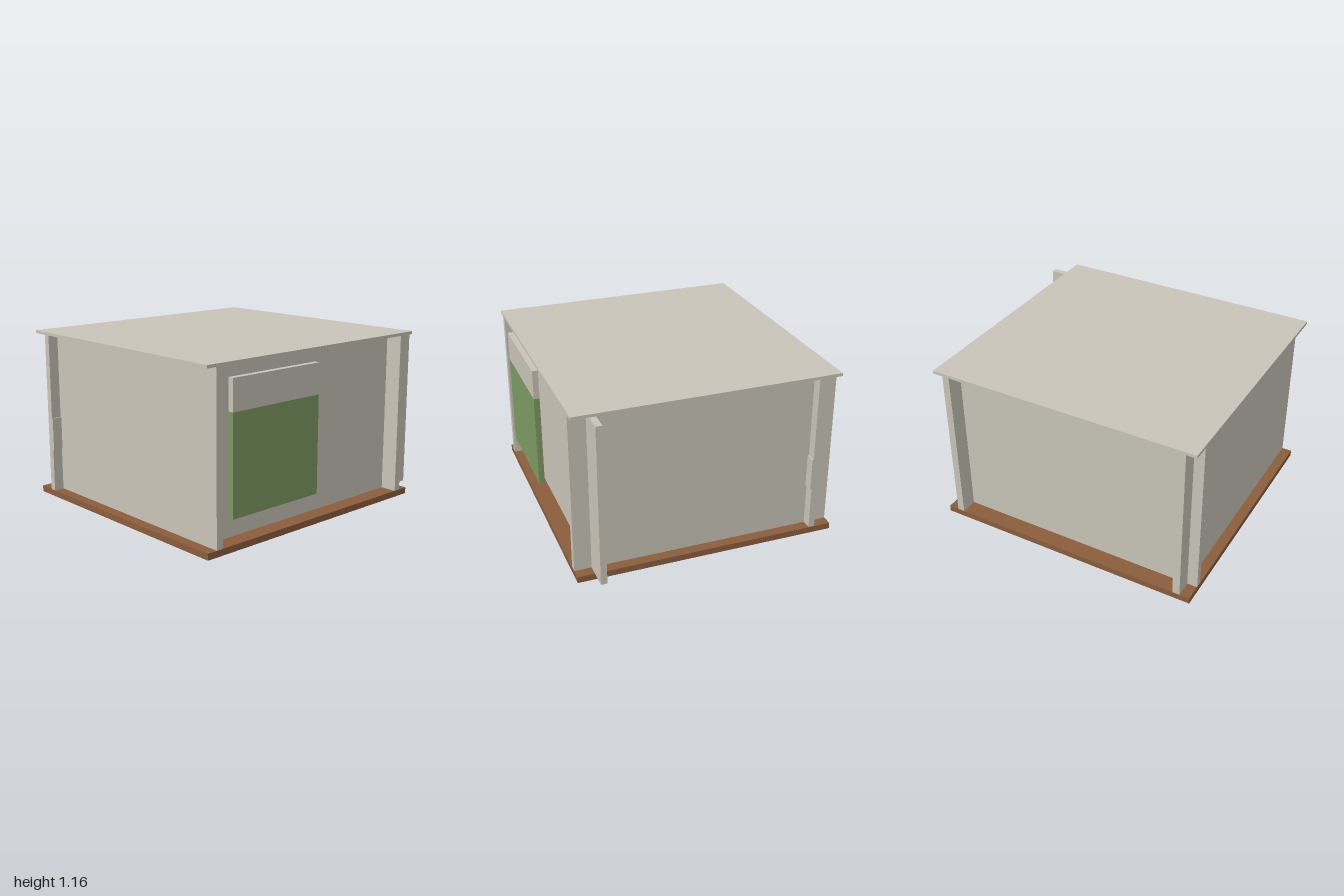
import * as THREE from 'three';

const material = (name, color) => {
  const m = new THREE.MeshStandardMaterial({ color });
  m.name = name;
  return m;
};

export function createModel() {
  const plaster = material('plaster', 0xc8c4b8);
  const wood = material('wood', 0x8b5e3c);
  const green = material('green', 0x7c9a62);

  const model = new THREE.Group();
  model.name = 'pavilion';

  // Box given by its extents along each axis
  const slab = (name, mat, [x0, x1], [y0, y1], [z0, z1]) => {
    const mesh = new THREE.Mesh(new THREE.BoxGeometry(x1 - x0, y1 - y0, z1 - z0), mat);
    mesh.position.set((x0 + x1) / 2, (y0 + y1) / 2, (z0 + z1) / 2);
    mesh.name = name;
    model.add(mesh);
  };

  const wide = [-0.895, 0.895];
  const wallHeight = [0.043, 1.145];

  // Floor and flat roof
  slab('floor', wood, wide, [0, 0.043], [-0.875, 1]);
  slab('roof', plaster, wide, [1.145, 1.165], [-0.875, 1]);

  // Front and back walls
  slab('frontWall', plaster, wide, wallHeight, [0.88, 0.93]);
  slab('backWall', plaster, wide, wallHeight, [-0.802, -0.752]);

  // Side walls, running past the cross walls at opposite ends
  slab('leftWall', plaster, [0.737, 0.78], wallHeight, [-1, 0.88]);
  slab('rightWall', plaster, [-0.78, -0.737], wallHeight, [-0.87, 1]);

  // Shallow ledge along the inside of one side wall
  slab('wallLedge', plaster, [-0.76, -0.728], [0.34, 0.565], [-0.87, 1]);

  // Two-tone panel standing off the other side wall
  slab('panelLower', green, [0.855, 0.895], [0.205, 0.86], [0.065, 0.8]);
  slab('panelUpper', plaster, [0.855, 0.895], [0.86, 1.065], [0.065, 0.8]);

  return model;
}
